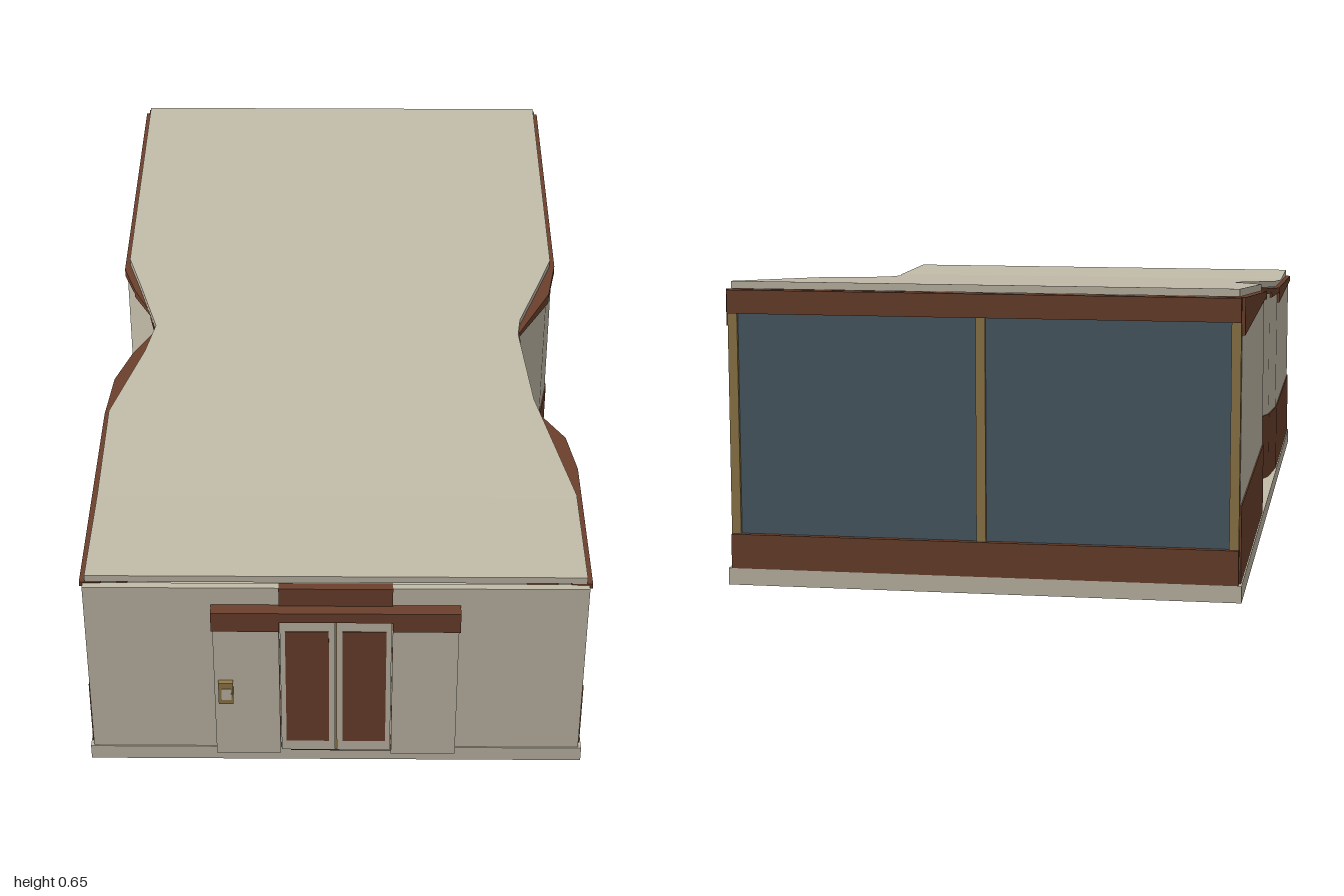
import * as THREE from 'three';

const mat = (name, color) => {
  const m = new THREE.MeshStandardMaterial({ color });
  m.name = name;
  return m;
};

// Height of the roof surface: level near the entrance, then rising to the back
const roofTop = z => (z > 0.66 ? 0.505 : 0.505 + (0.66 - z) * 0.145 / 1.64);
const roofUnder = z => roofTop(z) - 0.016;

// Plan lines as [x, z], front to back
const roofRight = [[0.535, 0.945], [0.535, 0.65], [0.46, 0.31], [0.437, 0.06], [0.445, 0], [0.5, -0.15], [0.535, -0.25], [0.535, -0.98]];
const roofLeft = [[-0.535, 0.945], [-0.535, 0.36], [-0.468, 0.13], [-0.449, 0.03], [-0.5, -0.14], [-0.535, -0.25], [-0.535, -0.98]];
const wallRight = [[0.547, 0.945], [0.547, 0.54], [0.527, 0.43], [0.463, 0.33], [0.443, 0.2], [0.443, 0.03], [0.525, -0.13], [0.547, -0.25], [0.547, -0.98]];
const wallLeft = [[-0.547, 0.945], [-0.547, 0.35], [-0.535, 0.22], [-0.5, 0.12], [-0.452, 0.03], [-0.47, -0.05], [-0.515, -0.14], [-0.547, -0.23], [-0.547, -0.98]];

// x on a plan line at a given z
function xAt(line, z) {
  for (let i = 0; i < line.length - 1; i++) {
    const [x0, z0] = line[i], [x1, z1] = line[i + 1];
    if (z <= z0 && z >= z1) return x0 + (x1 - x0) * (z0 - z) / (z0 - z1);
  }
  return line[line.length - 1][0];
}

// Adds a four-sided prism with bottom and top heights given by rules of z
function addPrism(out, plan, low, high) {
  let area = 0;
  plan.forEach(([x, z], i) => {
    const [nx, nz] = plan[(i + 1) % 4];
    area += x * nz - nx * z;
  });
  const p = area > 0 ? [...plan].reverse() : plan;
  const b = p.map(([x, z]) => [x, low(z), z]);
  const t = p.map(([x, z]) => [x, high(z), z]);
  const quad = (q, r, s, u) => out.push(...q, ...r, ...s, ...q, ...s, ...u);
  quad(...t);
  quad(b[3], b[2], b[1], b[0]);
  for (let i = 0; i < 4; i++) {
    const j = (i + 1) % 4;
    quad(b[i], b[j], t[j], t[i]);
  }
}

function meshFrom(out, material, name) {
  const g = new THREE.BufferGeometry();
  g.setAttribute('position', new THREE.Float32BufferAttribute(out, 3));
  g.computeVertexNormals();
  const m = new THREE.Mesh(g, material);
  m.name = name;
  return m;
}

export function createModel() {
  const cream = mat('cream', 0xc2bba9);
  const brown = mat('brown', 0x6b402c);
  const glass = mat('glass', 0x4b5b65);
  const gold = mat('gold', 0x927a4a);
  const dark = mat('dark', 0x35302c);

  const model = new THREE.Group();
  model.name = 'building';

  // Box from minimum and maximum corners
  const box = (name, material, x0, x1, y0, y1, z0, z1, parent = model) => {
    const m = new THREE.Mesh(new THREE.BoxGeometry(x1 - x0, y1 - y0, z1 - z0), material);
    m.position.set((x0 + x1) / 2, (y0 + y1) / 2, (z0 + z1) / 2);
    m.name = name;
    parent.add(m);
    return m;
  };

  box('baseSlab', cream, -0.547, 0.547, 0, 0.036, -1, 0.963);

  // Roof slab with a waist on both sides
  const rows = [...new Set([0.66, ...roofRight.map(p => p[1]), ...roofLeft.map(p => p[1])])].sort((a, b) => b - a);
  const roof = [];
  for (let i = 0; i < rows.length - 1; i++) {
    const a = rows[i], b = rows[i + 1];
    addPrism(roof, [[xAt(roofLeft, a), a], [xAt(roofRight, a), a], [xAt(roofRight, b), b], [xAt(roofLeft, b), b]], roofUnder, roofTop);
  }
  model.add(meshFrom(roof, cream, 'roof'));

  // Curved side walls: brown plinth, cream wall and stepped brown fascia
  for (const [side, line, sign] of [['right', wallRight, 1], ['left', wallLeft, -1]]) {
    const plinth = [], wall = [], fascia = [];
    for (let i = 0; i < line.length - 1; i++) {
      const [x0, z0] = line[i], [x1, z1] = line[i + 1];
      const band = (out, inset, depth, low, high) => {
        const o = sign * inset, n = sign * depth;
        addPrism(out, [[x0 - o, z0], [x1 - o, z1], [x1 - n, z1], [x0 - n, z0]], low, high);
      };
      const step = Math.min(0.555, roofUnder(z0) - 0.013);
      band(plinth, 0.003, 0.03, () => 0.036, () => 0.2);
      band(wall, 0.006, 0.03, () => 0.2, () => step);
      band(fascia, 0, 0.045, () => step, z => roofUnder(z) - 0.001);
    }
    model.add(meshFrom(plinth, brown, side + 'Plinth'));
    model.add(meshFrom(wall, cream, side + 'Wall'));
    model.add(meshFrom(fascia, brown, side + 'Fascia'));
  }

  // Front wall
  box('frontWall', cream, -0.54, 0.54, 0.036, 0.485, 0.943, 0.96);
  box('doorHeadPanel', brown, -0.122, 0.122, 0.42, 0.486, 0.944, 0.964);

  // Entrance surround, canopy and side panels
  const entrance = new THREE.Group();
  entrance.name = 'entrance';
  model.add(entrance);
  box('canopyTop', brown, -0.267, 0.267, 0.415, 0.44, 0.96, 0.99, entrance);
  box('threshold', dark, -0.1, 0.122, 0.036, 0.041, 0.96, 0.974, entrance);
  for (const s of [-1, 1]) {
    const span = (name, m, a, b, y0, y1, z0, z1) =>
      box(name, m, Math.min(s * a, s * b), Math.max(s * a, s * b), y0, y1, z0, z1, entrance);
    span('canopySide', brown, 0.122, 0.267, 0.39, 0.415, 0.96, 0.99);
    span('panelCore', brown, 0.122, 0.264, 0.037, 0.39, 0.96, 0.979);
    span('panelFace', cream, 0.122, 0.264, 0.039, 0.39, 0.979, 0.986);
    span('doorLeaf', cream, 0.002, 0.12, 0.041, 0.414, 0.96, 0.976);
    span('doorInset', brown, 0.015, 0.109, 0.068, 0.38, 0.975, 0.978);
  }
  box('doorGap', gold, -0.002, 0.002, 0.041, 0.414, 0.96, 0.973, entrance);

  // Entry panel beside the doors
  box('entryPanel', gold, -0.255, -0.223, 0.192, 0.251, 0.985, 0.998, entrance);
  box('entryScreen', cream, -0.248, -0.227, 0.206, 0.236, 0.996, 1, entrance);

  // Glazed back
  box('backSill', brown, -0.54, 0.54, 0.036, 0.11, -1, -0.975);
  box('backLintel', brown, -0.54, 0.54, 0.583, 0.633, -1, -0.975);
  box('backGlass', glass, -0.535, 0.535, 0.11, 0.583, -0.986, -0.976);
  for (const x of [-0.53, 0, 0.53]) box('windowPost', gold, x - 0.01, x + 0.01, 0.11, 0.583, -0.994, -0.975);

  return model;
}
